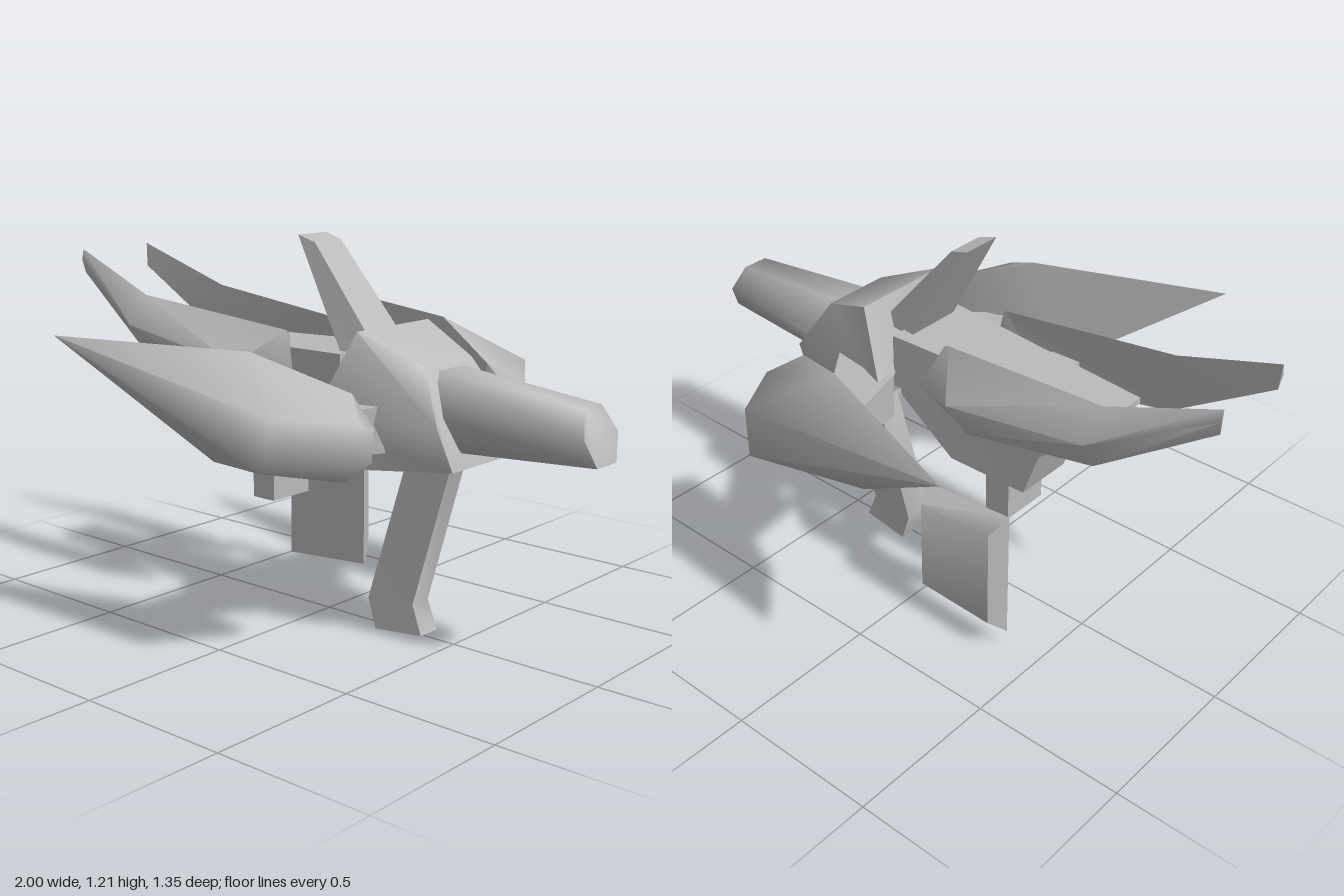
import * as THREE from 'three';
import { toCreasedNormals } from 'three/addons/utils/BufferGeometryUtils.js';

const grey = new THREE.MeshStandardMaterial({ color: 0xbababa });
grey.name = 'hull grey';

// Closed skin over cross-sections with equal point counts, facing outwards
function loft(rings, crease = 0.3) {
  const tris = [];
  const n = rings[0].length;
  const v = (p) => new THREE.Vector3(...p);
  const add = (a, b, c) => {
    const t = [v(a), v(b), v(c)];
    if (new THREE.Triangle(...t).getArea() > 1e-7) tris.push(t);
  };
  for (let r = 0; r < rings.length - 1; r++) {
    for (let i = 0; i < n; i++) {
      const j = (i + 1) % n;
      const a = rings[r][i], b = rings[r][j], c = rings[r + 1][j], d = rings[r + 1][i];
      add(a, b, c);
      add(a, c, d);
    }
  }
  const first = rings[0], last = rings[rings.length - 1];
  for (let i = 1; i < n - 1; i++) {
    add(first[0], first[i + 1], first[i]);
    add(last[0], last[i], last[i + 1]);
  }
  // The signed volume tells whether the corners must be reversed
  let volume = 0;
  for (const [a, b, c] of tris) volume += a.dot(b.clone().cross(c));
  const points = tris.flatMap(([a, b, c]) => (volume < 0 ? [a, c, b] : [a, b, c]));
  const geo = new THREE.BufferGeometry().setFromPoints(points);
  return toCreasedNormals(geo, crease);
}

// Complete a half cross-section across the z = 0 plane
const sym = (half) => [...half, ...half.slice().reverse().map(([x, y, z]) => [x, y, -z])];
const mirror = (rings) => rings.map((r) => r.map(([x, y, z]) => [x, y, -z]));

export function createModel() {
  const model = new THREE.Group();
  const part = (name, rings, crease) => {
    const mesh = new THREE.Mesh(loft(rings, crease), grey);
    mesh.name = name;
    model.add(mesh);
  };
  const pair = (name, rings, crease) => {
    part(name + 'Left', rings, crease);
    part(name + 'Right', mirror(rings), crease);
  };
  const box = (name, size, position) => {
    const mesh = new THREE.Mesh(new THREE.BoxGeometry(...size), grey);
    mesh.name = name;
    mesh.position.set(...position);
    model.add(mesh);
  };

  // Six-sided body and nose
  part('body', [
    sym([[0.255, 0.95, 0.17], [0.13, 0.68, 0.233], [0.3, 0.545, 0.18]]),
    sym([[0.46, 0.865, 0.115], [0.555, 0.705, 0.175], [0.575, 0.57, 0.125]]),
  ], 1.1);
  part('nose', [
    sym([[0.46, 0.847, 0.06], [0.535, 0.725, 0.12], [0.555, 0.615, 0.06]]),
    sym([[0.95, 0.797, 0.045], [0.98, 0.72, 0.087], [1.0, 0.64, 0.05]]),
  ], 1.35);

  // Upper fuselage plank, widening towards the body
  part('fuselage', [
    sym([[-0.595, 0.855, 0.09], [-0.595, 0.835, 0.09]]),
    sym([[-0.44, 0.858, 0.1], [-0.44, 0.7, 0.1]]),
    sym([[0.165, 0.87, 0.14], [0.165, 0.69, 0.14]]),
  ]);

  // Lower hull: x, bottom height, half width
  part('lowerHull', [
    [-0.46, 0.715, 0.095],
    [-0.38, 0.645, 0.1],
    [-0.325, 0.49, 0.1],
    [-0.035, 0.485, 0.1],
    [0.065, 0.565, 0.105],
    [0.165, 0.645, 0.11],
  ].map(([x, bottom, w]) => sym([[x, 0.78, w], [x, bottom, w]])));

  // Dorsal blade, swept backwards
  part('dorsalBlade', [
    sym([[-0.07, 1.205, 0.065], [-0.005, 1.185, 0.061]]),
    sym([[0.13, 0.86, 0.095], [0.27, 0.86, 0.078]]),
  ]);

  // Front leg with a bent foot
  part('frontLeg', [
    sym([[0.36, 0.6, 0.045], [0.515, 0.6, 0.035]]),
    sym([[0.205, 0.095, 0.05], [0.37, 0.105, 0.038]]),
    sym([[0.235, 0, 0.05], [0.405, 0.013, 0.04]]),
  ], 0.9);

  // Long rear fins
  pair('rearFin', [
    [[-1, 1.105, 0.145], [-1, 1.07, 0.152], [-0.995, 1.025, 0.142]],
    [[-0.65, 0.98, 0.175], [-0.645, 0.89, 0.255], [-0.635, 0.78, 0.185]],
    [[-0.06, 0.92, 0.137], [-0.16, 0.815, 0.266], [-0.175, 0.685, 0.19]],
    [[-0.045, 0.915, 0.137], [0.02, 0.77, 0.187], [-0.16, 0.685, 0.175]],
  ], 1.3);

  // Side wings running back to a point, rounded over at the front
  const tip = [-0.505, 0.92, 0.675];
  const innerTop = [0.37, 0.805, 0.325], innerBottom = [0.345, 0.545, 0.335];
  pair('wing', [
    [tip, tip, tip, tip],
    [[0.1, 0.91, 0.455], [0.32, 0.77, 0.615], [0.3, 0.62, 0.63], [-0.03, 0.572, 0.48]],
    [innerTop, [0.463, 0.74, 0.4], [0.455, 0.62, 0.4], innerBottom],
    [innerTop, [0.458, 0.72, 0.335], [0.45, 0.62, 0.335], innerBottom],
  ], 1.35);

  // Struts holding the wings and the fins
  pair('wingStrut', [
    [[0.14, 0.75, 0.17], [0.37, 0.75, 0.17], [0.37, 0.605, 0.17], [0.14, 0.605, 0.17]],
    [[0.1, 0.7, 0.45], [0.2, 0.7, 0.42], [0.2, 0.605, 0.42], [0.1, 0.605, 0.45]],
  ]);
  box('finStrut', [0.1, 0.08, 0.38], [-0.27, 0.79, 0]);

  // Small post under the fuselage
  box('lowerPost', [0.09, 0.2, 0.166], [-0.21, 0.445, 0]);

  // Bevelled panel hanging on the right side
  part('sidePanel', [
    [[-0.38, 0.5, -0.232], [-0.05, 0.472, -0.232], [-0.05, 0.08, -0.232], [-0.38, 0.055, -0.232]],
    [[-0.35, 0.45, -0.292], [-0.08, 0.435, -0.292], [-0.08, 0.12, -0.292], [-0.35, 0.11, -0.292]],
  ], 0.97);

  return model;
}
